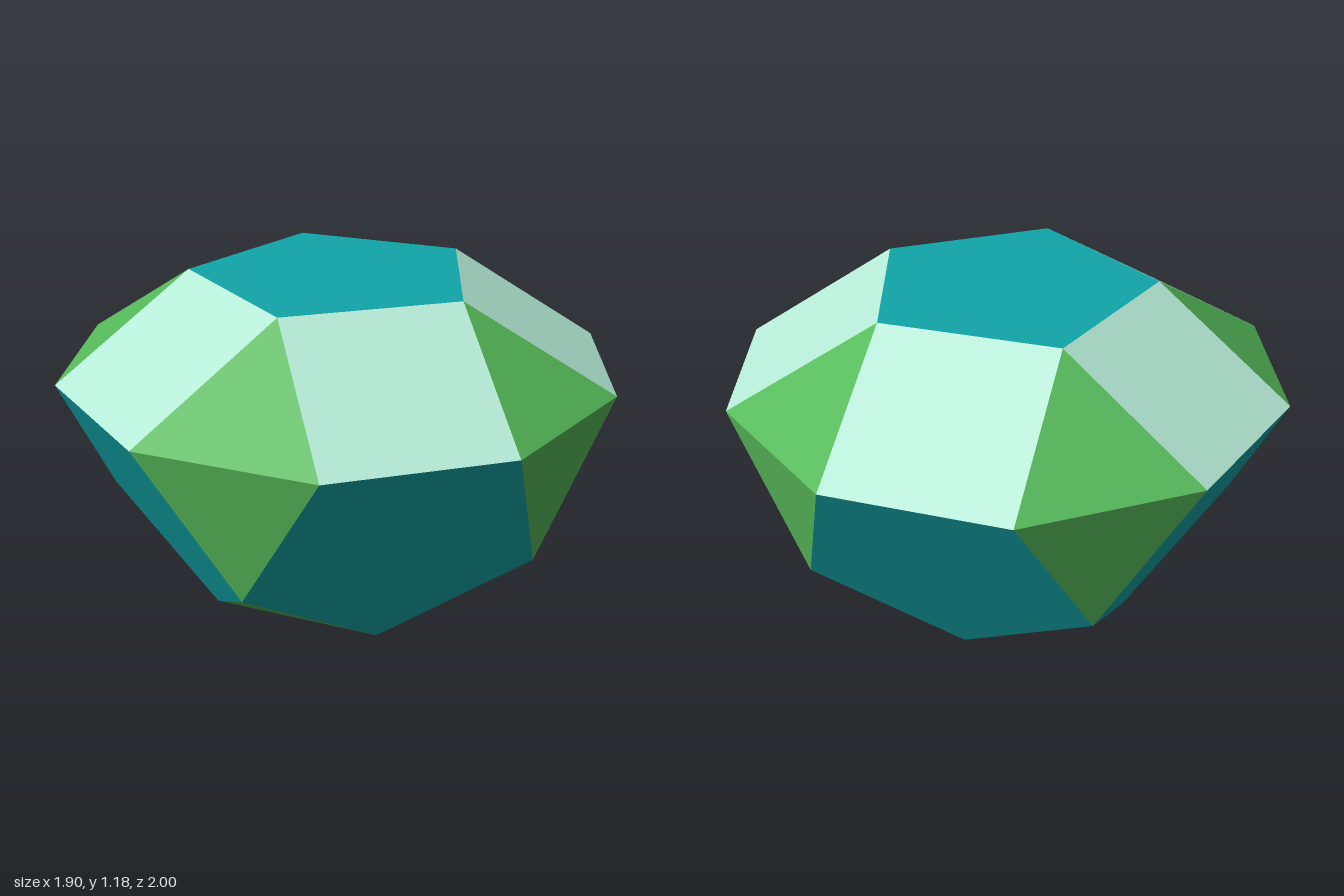
import * as THREE from 'three';

// Pentagonal cupola on top of a pentagonal rotunda, with equal edges
const EDGE = 2 * Math.sin(Math.PI / 10);
const STEP = 0.5257 * EDGE;          // height between neighbouring rings
const Y_MID = STEP;
const Y_RIM = 1.3764 * EDGE;
const Y_TOP = Y_RIM + STEP;
const R_PENT = 0.8507 * EDGE;
const R_MID = 1.3764 * EDGE;
const CENTRE = new THREE.Vector3(0, Y_TOP / 2, 0);

// Point on a ring, angle in degrees from +x
function ring(radius, y, degrees) {
  const a = THREE.MathUtils.degToRad(degrees);
  return new THREE.Vector3(radius * Math.cos(a), y, radius * Math.sin(a));
}
const bottom = (d) => ring(R_PENT, 0, d);
const mid = (d) => ring(R_MID, Y_MID, d);
const rim = (d) => ring(1, Y_RIM, d);
const top = (d) => ring(R_PENT, Y_TOP, d);

// Fan each convex face into triangles, wound to face outward
function facesMesh(name, faces, material) {
  const points = [];
  for (const face of faces) {
    const normal = new THREE.Vector3().subVectors(face[1], face[0])
      .cross(new THREE.Vector3().subVectors(face[2], face[0]));
    const outward = new THREE.Vector3().subVectors(face[0], CENTRE);
    const loop = normal.dot(outward) < 0 ? [...face].reverse() : face;
    for (let i = 1; i < loop.length - 1; i++) points.push(loop[0], loop[i], loop[i + 1]);
  }
  const geometry = new THREE.BufferGeometry().setFromPoints(points);
  geometry.computeVertexNormals();
  const mesh = new THREE.Mesh(geometry, material);
  mesh.name = name;
  return mesh;
}

export function createModel() {
  const teal = new THREE.MeshStandardMaterial({ color: 0x11a6a9, flatShading: true });
  const mint = new THREE.MeshStandardMaterial({ color: 0xb5ead6, flatShading: true });
  const green = new THREE.MeshStandardMaterial({ color: 0x55b959, flatShading: true });

  const turns = [0, 72, 144, 216, 288];
  const squares = [], upperTriangles = [], sidePentagons = [], sideTriangles = [], baseTriangles = [];
  for (const t of turns) {
    const h = t + 36; // direction of the cupola corners
    squares.push([rim(t - 18), rim(t + 18), top(t + 36), top(t - 36)]);
    upperTriangles.push([rim(h - 18), rim(h + 18), top(h)]);
    sidePentagons.push([rim(t - 18), rim(t + 18), mid(t + 36), bottom(t), mid(t - 36)]);
    sideTriangles.push([rim(h - 18), rim(h + 18), mid(h)]);
    baseTriangles.push([bottom(t), bottom(t + 72), mid(h)]);
  }

  const model = new THREE.Group();
  model.name = 'cupolaRotunda';
  model.add(
    facesMesh('topPentagon', [turns.map((t) => top(t + 36))], teal),
    facesMesh('upperSquares', squares, mint),
    facesMesh('upperTriangles', upperTriangles, green),
    facesMesh('sidePentagons', sidePentagons, teal),
    facesMesh('sideTriangles', sideTriangles, green),
    facesMesh('baseTriangles', baseTriangles, green),
    facesMesh('bottomPentagon', [turns.map(bottom)], teal),
  );
  return model;
}
